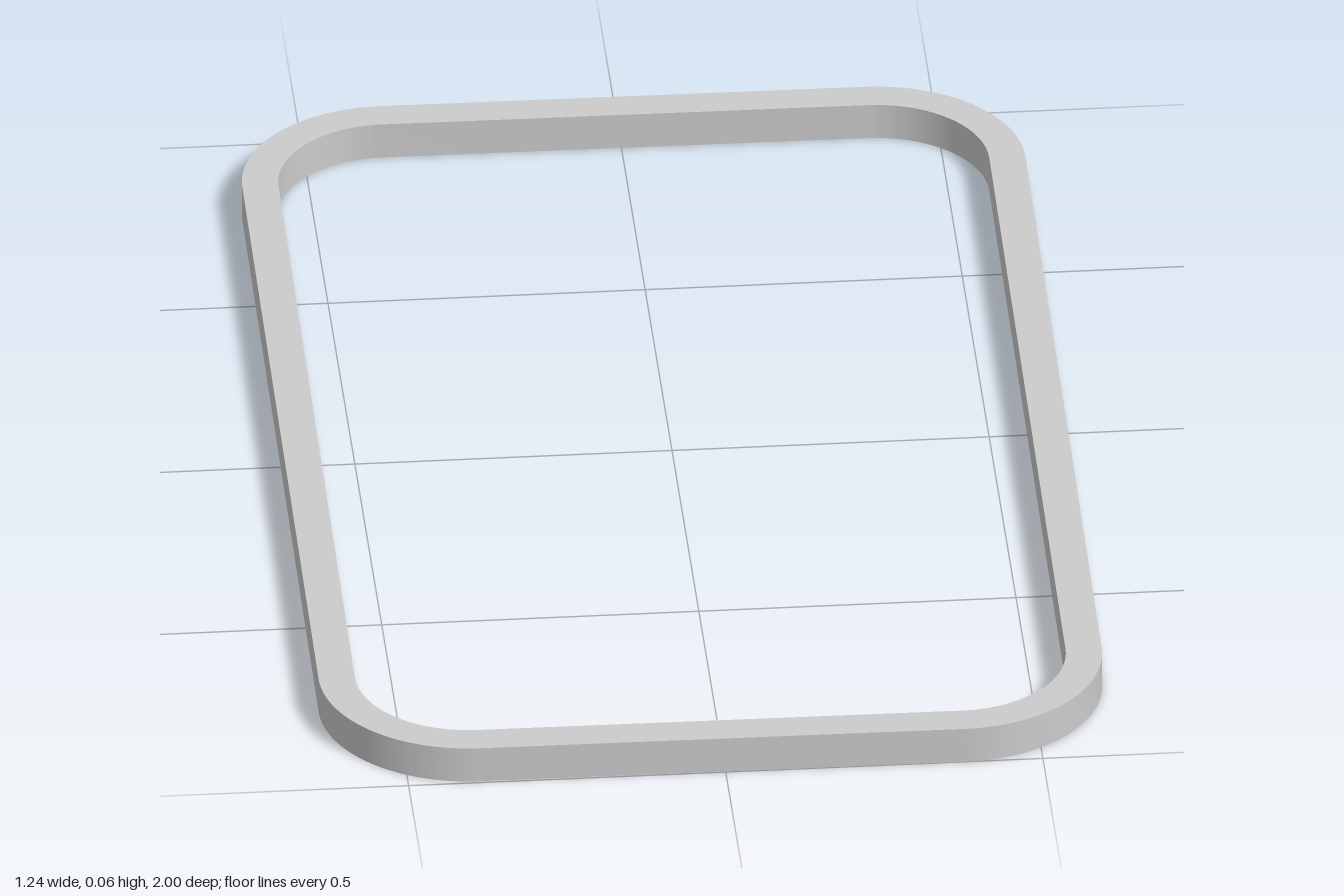
import * as THREE from 'three';
import { toCreasedNormals } from 'three/addons/utils/BufferGeometryUtils.js';

const HALF_W = 0.617, HALF_L = 0.998, WALL = 0.057, HEIGHT = 0.06, RADIUS = 0.235;

// Trace a rectangle with round corners, counter-clockwise
function roundedRect(path, w, l, r) {
  const corners = [[1, 1], [-1, 1], [-1, -1], [1, -1]];
  corners.forEach(([sx, sy], i) => {
    const start = i * Math.PI / 2;
    path.absarc(sx * (w - r), sy * (l - r), r, start, start + Math.PI / 2, false);
  });
  path.closePath();
  return path;
}

export function createModel() {
  const group = new THREE.Group();
  group.name = 'roundedFrame';

  // Thin band: outer outline with a parallel inner opening
  const shape = roundedRect(new THREE.Shape(), HALF_W, HALF_L, RADIUS);
  shape.holes.push(roundedRect(new THREE.Path(), HALF_W - WALL, HALF_L - WALL, RADIUS - WALL));

  const band = new THREE.ExtrudeGeometry(shape, { depth: HEIGHT, bevelEnabled: false, curveSegments: 20 });
  band.rotateX(-Math.PI / 2);

  const frame = new THREE.Mesh(
    toCreasedNormals(band, 0.5),
    new THREE.MeshStandardMaterial({ color: 0xcccccc })
  );
  frame.name = 'frameBand';
  frame.rotation.y = -0.006; // the frame sits very slightly askew
  group.add(frame);
  return group;
}
